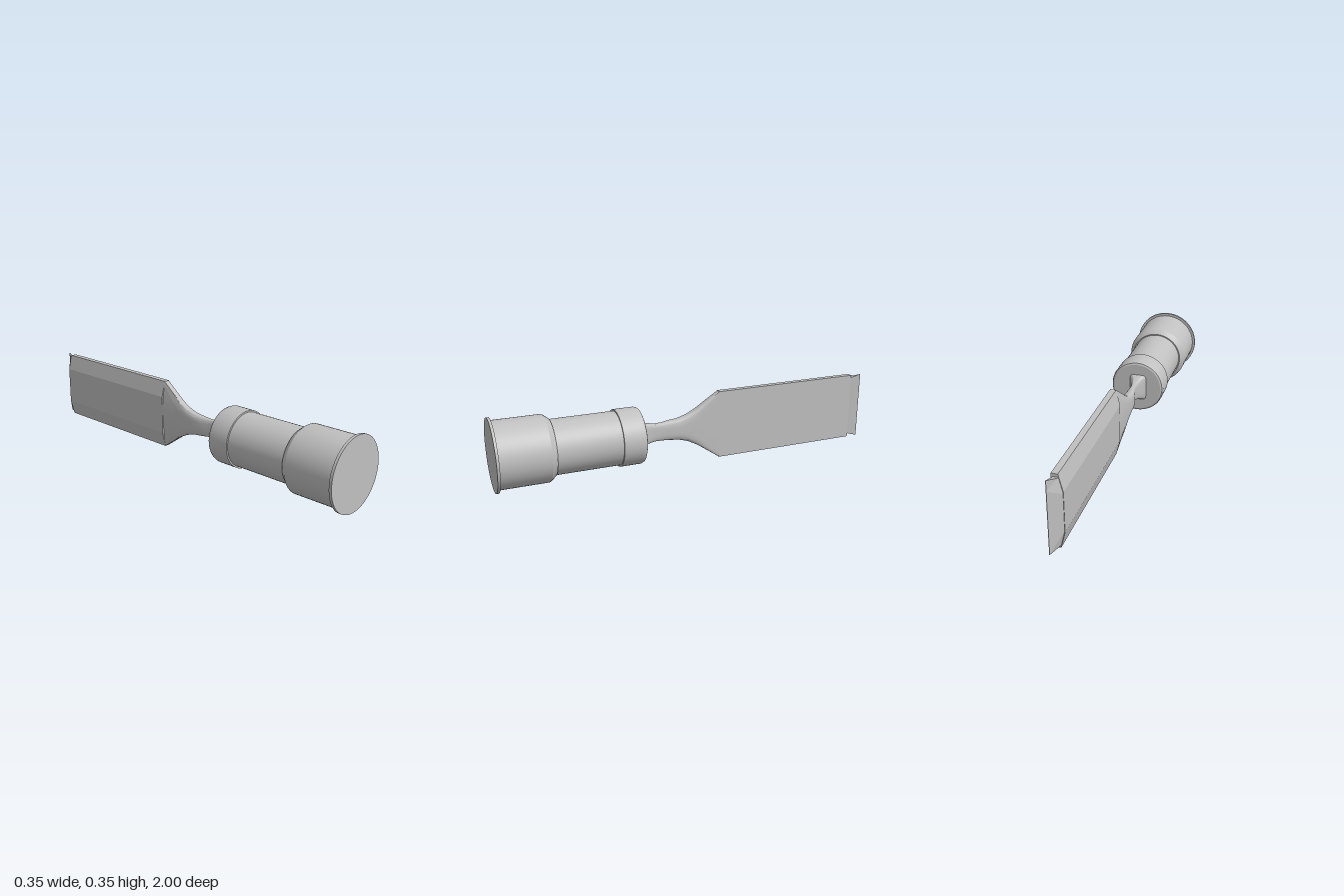
import * as THREE from 'three';
import { toCreasedNormals } from 'three/addons/utils/BufferGeometryUtils.js';

const CY = 0.177; // height of the long axis

// Skin closed rings [[x, y, z], ...] ordered from +z to -z, with both ends capped
function loft(rings, crease) {
  const n = rings[0].length, idx = [];
  for (let r = 0; r < rings.length - 1; r++) {
    for (let i = 0; i < n; i++) {
      const j = (i + 1) % n, a = r * n, b = a + n;
      idx.push(a + i, b + i, b + j, a + i, b + j, a + j);
    }
  }
  const last = (rings.length - 1) * n;
  for (let i = 1; i < n - 1; i++) {
    idx.push(0, i, i + 1, last, last + i + 1, last + i);
  }
  const g = new THREE.BufferGeometry();
  g.setAttribute('position', new THREE.Float32BufferAttribute(rings.flat(2), 3));
  g.setIndex(idx);
  return toCreasedNormals(g, crease);
}

// Blade section: flat on +x, bevelled along both edges on -x
function bladeRing(z, h, x0, xb, x1, bevel) {
  return [[x1, -h], [x1, h], [xb, h], [x0, h - bevel], [x0, bevel - h], [xb, -h]]
    .map(([x, y]) => [x, CY + y, z]);
}

// Neck section: rounded rectangle that gradually takes on the blade bevels
function neckRing(z, h, x0, x1, power, bevelX) {
  const ring = [], n = 40, bevelY = h * 0.45;
  const bend = (v) => Math.sign(v) * Math.pow(Math.abs(v), 2 / power);
  for (let i = 0; i < n; i++) {
    const a = (i / n) * Math.PI * 2;
    const y = h * bend(Math.sin(a));
    const x = (x0 + x1) / 2 + ((x1 - x0) / 2) * bend(Math.cos(a));
    const cut = x0 + bevelX * Math.max(0, (Math.abs(y) - h + bevelY) / bevelY);
    ring.push([Math.max(x, cut), CY + y, z]);
  }
  return ring;
}

export function createModel() {
  const group = new THREE.Group();
  const steel = new THREE.MeshStandardMaterial({ color: 0xc0c0c0 });
  steel.name = 'light grey';
  const add = (name, geometry) => {
    const mesh = new THREE.Mesh(geometry, steel);
    mesh.name = name;
    group.add(mesh);
  };
  const turned = (name, points) => {
    const g = new THREE.LatheGeometry(points.map(([r, z]) => new THREE.Vector2(r, z)), 64);
    g.rotateX(Math.PI / 2).translate(0, CY, 0);
    add(name, toCreasedNormals(g, 0.4));
  };

  // Handle, turned around the long axis
  turned('ferrule', [[0, 0.28], [0.128, 0.28], [0.137, 0.284], [0.142, 0.296], [0.142, 0.4], [0.13, 0.4]]);
  turned('grip', [[0.134, 0.395], [0.134, 0.72], [0.138, 0.723]]);
  turned('pommel', [[0.13, 0.72], [0.14, 0.72], [0.162, 0.748], [0.163, 0.755], [0.163, 0.988]]);
  turned('endCap', [[0.16, 0.987], [0.177, 0.987], [0.177, 1], [0, 1]]);

  // Neck stations: z, half height, min x, max x, squareness, bevel width
  const stations = [
    [0.282, 0.072, -0.052, 0.042, 6, 0],
    [0.265, 0.063, -0.036, 0.03, 5, 0],
    [0.24, 0.053, -0.022, 0.02, 4, 0],
    [0.2, 0.046, -0.015, 0.014, 3.5, 0],
    [0.16, 0.047, -0.021, 0.016, 3, 0],
    [0.12, 0.051, -0.031, 0.018, 3, 0],
    [0.07, 0.056, -0.033, 0.02, 3, 0],
    [0.02, 0.071, -0.032, 0.02, 3.5, 0.003],
    [-0.03, 0.096, -0.031, 0.02, 5, 0.008],
    [-0.08, 0.13, -0.03, 0.02, 9, 0.014],
    [-0.15, 0.177, -0.03, 0.02, 40, 0.02],
  ];
  add('neck', loft(stations.map((s) => neckRing(...s)), 0.6));

  // Straight bevelled blade
  add('blade', loft([-0.148, -0.942].map((z) => bladeRing(z, 0.177, -0.03, -0.01, 0.02, 0.08)), 0.15));

  // Ground tip, slightly inset where it meets the blade and widening to the edge
  add('cuttingEdge', loft([
    bladeRing(-0.94, 0.162, -0.029, -0.012, 0.012, 0.07),
    bladeRing(-0.95, 0.163, -0.026, -0.01, 0.014, 0.07),
    bladeRing(-1, 0.177, 0.018, 0.018, 0.02, 0.05),
  ], 0.15));

  return group;
}
